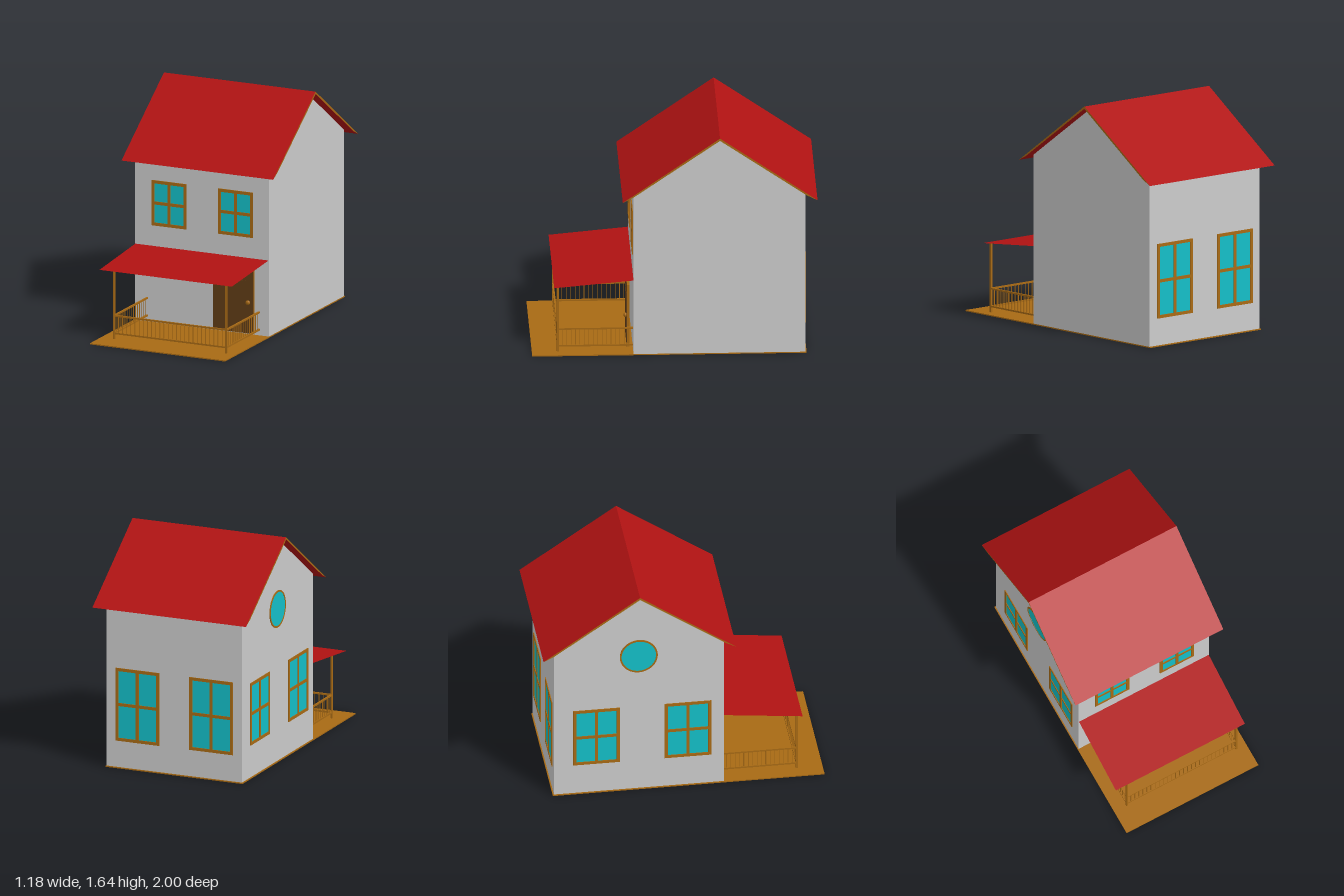
import * as THREE from 'three';

const mat = (color, side = THREE.FrontSide) => {
  const m = new THREE.MeshStandardMaterial({ color });
  m.side = side;
  return m;
};
const grey = mat(0xcccccc);
const red = mat(0xb01212, THREE.DoubleSide);
const brown = mat(0xa86a14);
const darkBrown = mat(0x603c16);
const teal = mat(0x14bfc8);

const WALL = { left: -0.522, right: 0.52, front: 0.29, back: -0.913 };
const RIDGE_Z = -0.313;

function add(parent, name, geometry, material, x = 0, y = 0, z = 0) {
  const mesh = new THREE.Mesh(geometry, material);
  mesh.name = name;
  mesh.position.set(x, y, z);
  parent.add(mesh);
  return mesh;
}

// Box given by its minimum and maximum corners
function block(parent, name, material, a, b) {
  const [x, y, z] = a.map((v, i) => (v + b[i]) / 2);
  const size = a.map((v, i) => Math.abs(b[i] - v));
  return add(parent, name, new THREE.BoxGeometry(...size), material, x, y, z);
}

// Closed z-y profile extruded along x
function profileAlongX(points, x0, x1) {
  const shape = new THREE.Shape(points.map(([z, y]) => new THREE.Vector2(z, y)));
  return new THREE.ExtrudeGeometry(shape, { depth: x1 - x0, bevelEnabled: false })
    .rotateY(-Math.PI / 2).translate(x1, 0, 0);
}

function rectPath(PathClass, x, y, w, h) {
  return new PathClass([[x, y], [x + w, y], [x + w, y + h], [x, y + h]]
    .map(p => new THREE.Vector2(...p)));
}

// Four-pane window facing +z, centred on its origin
function makeWindow(name, w, h) {
  const group = new THREE.Group();
  group.name = name;
  const f = 0.022;
  const pw = (w - 3 * f) / 2, ph = (h - 3 * f) / 2;
  const frame = rectPath(THREE.Shape, -w / 2, -h / 2, w, h);
  for (const x of [-w / 2 + f, f / 2])
    for (const y of [-h / 2 + f, f / 2])
      frame.holes.push(rectPath(THREE.Path, x, y, pw, ph));
  add(group, 'windowFrame', new THREE.ExtrudeGeometry(frame, { depth: 0.008, bevelEnabled: false }), brown);
  add(group, 'windowGlass', new THREE.PlaneGeometry(w - f, h - f), teal, 0, 0, 0.003);
  return group;
}

function placeWindow(parent, name, w, h, position, turn) {
  const win = makeWindow(name, w, h);
  win.position.set(...position);
  win.rotation.y = turn;
  parent.add(win);
}

// Rails and balusters between two floor points
function railing(parent, name, [x0, z0], [x1, z1]) {
  const group = new THREE.Group();
  group.name = name;
  const length = Math.hypot(x1 - x0, z1 - z0);
  group.position.set(x0, 0, z0);
  group.rotation.y = Math.atan2(-(z1 - z0), x1 - x0);
  for (const y of [0.05, 0.176])
    block(group, 'rail', brown, [0, y - 0.006, -0.006], [length, y + 0.006, 0.006]);
  const n = Math.round(length / 0.032);
  const baluster = new THREE.BoxGeometry(0.004, 0.12, 0.004);
  for (let i = 1; i < n; i++)
    add(group, 'baluster', baluster, brown, (length * i) / n, 0.113, 0);
  parent.add(group);
}

export function createModel() {
  const model = new THREE.Group();
  model.name = 'house';

  // Ground floor slab reaching out under the porch
  block(model, 'floorSlab', brown, [-0.53, 0, -0.922], [0.522, 0.008, 1]);

  // Walls with gables
  add(model, 'walls', profileAlongX([
    [WALL.back, 0.008], [WALL.front, 0.008], [WALL.front, 1.212],
    [RIDGE_Z, 1.63], [WALL.back, 1.212],
  ], WALL.left, WALL.right), grey);

  // Main roof, thinning to the eaves, with brown gable ends
  add(model, 'roof', profileAlongX([
    [0.368, 1.172], [RIDGE_Z, 1.645], [-0.996, 1.172],
    [-0.92, 1.21], [RIDGE_Z, 1.628], [0.294, 1.21],
  ], -0.59, 0.59), [brown, red]);

  // Front and back windows
  for (const x of [-0.257, 0.261])
    placeWindow(model, 'frontWindow', 0.272, 0.328, [x, 0.873, WALL.front - 0.002], 0);
  for (const x of [-0.286, 0.281])
    placeWindow(model, 'backWindow', 0.335, 0.53, [x, 0.465, WALL.back + 0.002], Math.PI);

  // Windows on the right-hand wall
  for (const z of [-0.612, 0.035])
    placeWindow(model, 'sideWindow', 0.33, 0.453, [WALL.left + 0.002, 0.468, z], -Math.PI / 2);

  // Round gable window
  const round = new THREE.Group();
  round.name = 'roundWindow';
  const ring = new THREE.Shape().absarc(0, 0, 0.134, 0, Math.PI * 2);
  ring.holes.push(new THREE.Path().absarc(0, 0, 0.122, 0, Math.PI * 2, true));
  add(round, 'roundFrame', new THREE.ExtrudeGeometry(ring, { depth: 0.006, bevelEnabled: false, curveSegments: 32 }), brown);
  add(round, 'roundGlass', new THREE.CircleGeometry(0.125, 32), teal, 0, 0, 0.004);
  round.position.set(WALL.left, 1.115, RIDGE_Z);
  round.rotation.y = -Math.PI / 2;
  model.add(round);

  // Door with a raised panel and a knob
  const door = new THREE.Group();
  door.name = 'door';
  block(door, 'doorSlab', brown, [0.105, 0.025, 0.313], [0.418, 0.488, 0.332]);
  block(door, 'doorFace', darkBrown, [0.105, 0.025, 0.332], [0.418, 0.488, 0.334]);
  block(door, 'doorPanel', darkBrown, [0.17, 0.1, 0.333], [0.36, 0.405, 0.337]);
  add(door, 'knobStem', new THREE.CylinderGeometry(0.008, 0.008, 0.016, 12).rotateX(Math.PI / 2), brown, 0.38, 0.25, 0.34);
  add(door, 'knob', new THREE.SphereGeometry(0.017, 16, 12).scale(1, 1, 0.7), brown, 0.38, 0.25, 0.343);
  model.add(door);

  // Porch posts and railings
  const porch = new THREE.Group();
  porch.name = 'porch';
  const [px0, px1, pz] = [-0.428, 0.444, 0.818];
  for (const x of [px0, px1])
    block(porch, 'porchPost', brown, [x - 0.007, 0.008, pz - 0.007], [x + 0.007, 0.504, pz + 0.007]);
  railing(porch, 'frontRailing', [px0, pz], [px1, pz]);
  for (const x of [px0, px1])
    railing(porch, 'sideRailing', [x, pz], [x, WALL.front]);

  // Thin sloping porch roof, slightly skewed
  const sheet = new THREE.BufferGeometry();
  sheet.setAttribute('position', new THREE.Float32BufferAttribute([
    -0.53, 0.503, 0.845, 0.5, 0.503, 0.845, 0.516, 0.559, 0.29, -0.52, 0.559, 0.29,
  ], 3));
  sheet.setIndex([0, 1, 2, 0, 2, 3]);
  sheet.computeVertexNormals();
  add(porch, 'porchRoof', sheet, red);
  model.add(porch);

  return model;
}
